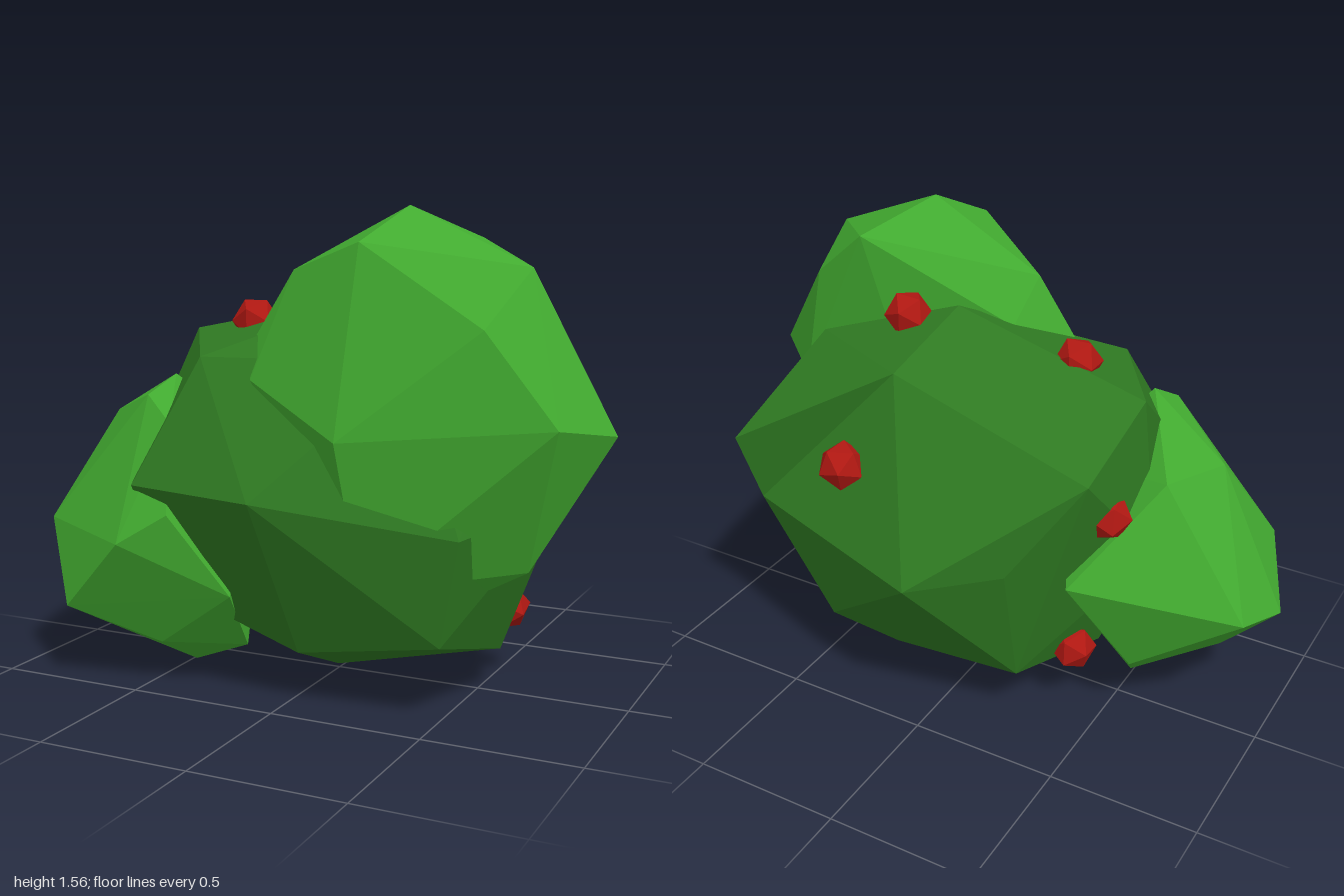
import * as THREE from 'three';
import { ConvexGeometry } from 'three/addons/geometries/ConvexGeometry.js';

const material = (color) => new THREE.MeshStandardMaterial({ color, flatShading: true });

// A faceted clump of leaves: the hull around a few corner points
function clump(name, color, corners) {
  const points = corners.map((c) => new THREE.Vector3(...c));
  const mesh = new THREE.Mesh(new ConvexGeometry(points), material(color));
  mesh.name = name;
  return mesh;
}

export function createModel() {
  const bush = new THREE.Group();
  bush.name = 'berryBush';
  const darkGreen = 0x2f7a22;
  const lightGreen = 0x42ab30;

  // Corners of the middle clump shared with its jutting back corner
  const shoulder = [
    [0.175, 1.18, -0.305], [0.63, 1.12, -0.03], [0.785, 0.66, 0.07], [0.63, 0.67, -0.43],
  ];

  // Large dark clump in the middle
  bush.add(clump('mainClump', darkGreen, [
    ...shoulder,
    // top
    [0.15, 1.28, 0.05], [-0.55, 1.14, -0.02], [-0.3, 1.09, 0.39], [0.4, 1.1, 0.36],
    [-0.525, 1.0, -0.355],
    // widest ring
    [0, 0.69, 0.64], [-0.47, 0.69, 0.54], [0.6, 0.6, 0.46], [-0.05, 0.64, -0.64],
    [-0.31, 0.68, -0.47], [-0.6, 0.6, 0],
    // underside
    [0.52, 0.25, 0.4], [0.04, 0.17, 0.39], [-0.42, 0.32, 0.38], [0.57, 0.14, -0.015],
    [0.38, 0.275, -0.415], [0.18, 0.175, -0.33], [-0.28, 0.21, -0.33], [-0.42, 0.19, 0],
    [0.02, 0.03, 0.05],
  ]));
  bush.add(clump('mainClumpCorner', darkGreen, [...shoulder, [0.665, 0.915, -0.5]]));

  // Tall clump at the front, leaning to the left side
  bush.add(clump('upperClump', lightGreen, [
    [0.35, 1.56, 0.245], [0.505, 1.46, 0.02], [0.275, 1.455, 0.45], [0.755, 1.385, 0.3],
    [-0.05, 1.36, 0.23], [-0.02, 1.22, 0.11], [-0.185, 1.12, 0.27], [-0.1, 1.03, 0.43],
    [0.67, 1.215, 0.47], [0.7, 1.29, 0.05], [0.79, 0.87, 0.065], [1, 0.905, 0.245],
    [0.885, 0.94, 0.445], [0.25, 0.88, 0.57], [0.755, 0.485, 0.285], [0.63, 0.415, 0.275],
    [0.3, 0.42, 0.49], [0, 0.8, 0.3], [0.3, 0.8, 0.05],
  ]));

  // Low clump on the right side
  bush.add(clump('lowerClump', lightGreen, [
    [-0.445, 1.02, 0.3], [-0.49, 0.96, 0.4], [-0.745, 0.87, 0.19], [-0.66, 0.91, -0.08],
    [-0.38, 0.88, 0.45], [-0.86, 0.53, 0.425], [-0.49, 0.51, 0.605], [-1, 0.425, 0.125],
    [-0.955, 0.5, -0.11], [-0.735, 0.265, 0.535], [-0.785, 0.175, 0.2], [-0.45, 0.145, 0.41],
    [-0.49, 0, 0.13], [-0.17, 0.34, 0.45], [-0.19, 0.14, 0.3], [-0.45, 0.6, -0.33],
    [-0.33, 0.61, 0.56], [-0.6, 0.25, -0.15], [-0.25, 0.8, 0.1],
  ]));

  // Berries scattered over the middle clump
  const berries = new THREE.Group();
  berries.name = 'berries';
  const berryGeometry = new THREE.IcosahedronGeometry(0.08, 0);
  const red = material(0xb01812);
  [
    [-0.28, 1.18, 0.06], [0.305, 1.24, -0.01], [0.29, 0.89, -0.44],
    [-0.52, 0.82, -0.2], [-0.39, 0.24, -0.14], [0.54, 0.24, -0.165],
  ].forEach(([x, y, z], i) => {
    const berry = new THREE.Mesh(berryGeometry, red);
    berry.name = `berry${i + 1}`;
    berry.position.set(x, y, z);
    berry.rotation.set(i * 0.9, i * 1.7, i * 0.5);
    berries.add(berry);
  });
  bush.add(berries);

  return bush;
}
